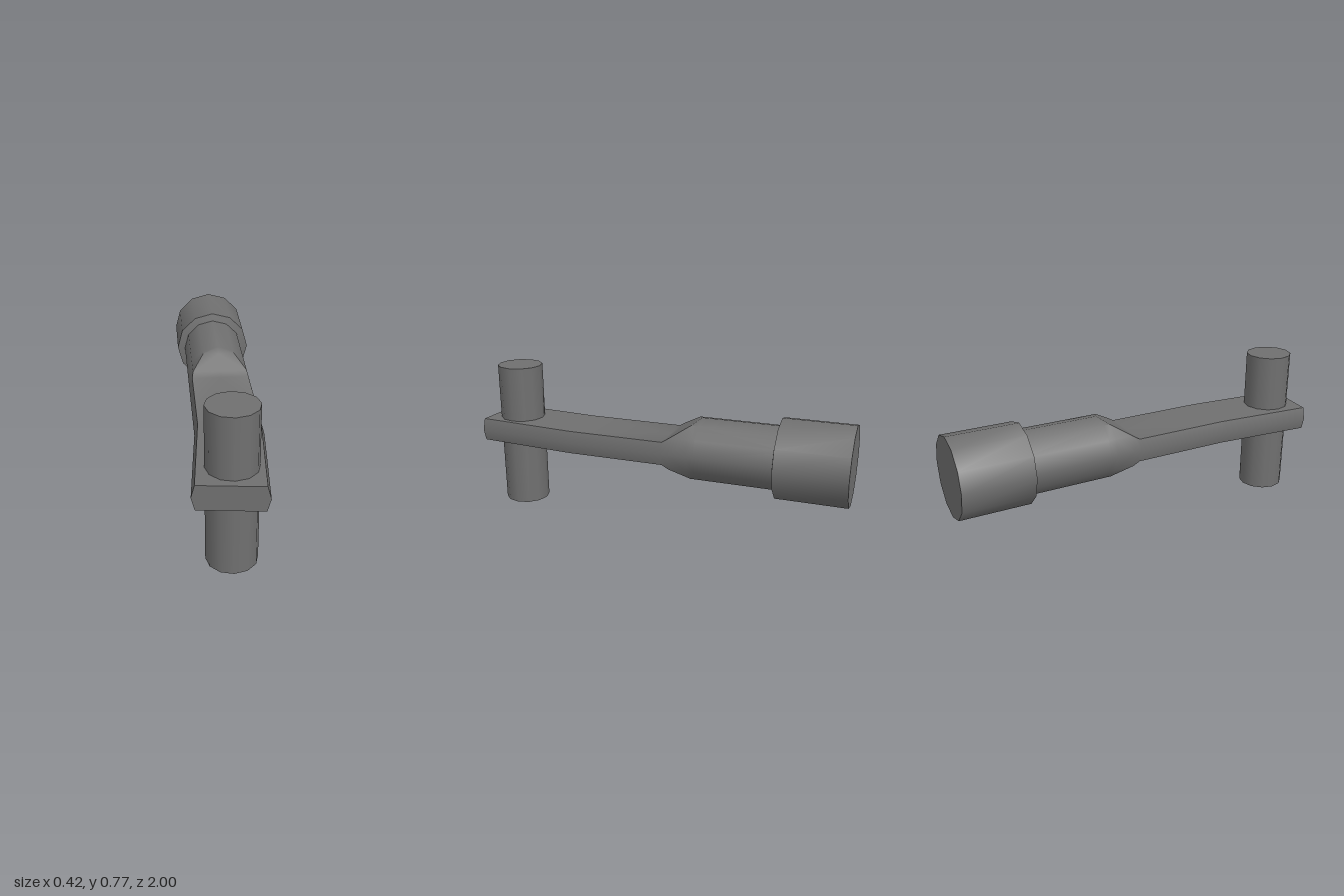
import * as THREE from 'three';
import { toCreasedNormals } from 'three/addons/utils/BufferGeometryUtils.js';

const SIDES = 12, CREASE = 0.65, AXIS_Y = 0.42;
const R = 0.166, FLAT = 0.061;

// Twelve-sided outline whose top and bottom are cut off at height +-h.
function outline(h) {
  const corner = (k) => [R * Math.cos(k * Math.PI / 6), R * Math.sin(k * Math.PI / 6)];
  const quarter = [0, 1, 2].map((k) => {
    if (corner(k)[1] <= h + 1e-6) return corner(k);
    let j = k;
    while (corner(j)[1] > h) j--;
    const [a, b] = [corner(j), corner(j + 1)];
    return [a[0] + (b[0] - a[0]) * (h - a[1]) / (b[1] - a[1]), h];
  });
  const half = [...quarter, [0, h], ...[2, 1].map((k) => [-quarter[k][0], quarter[k][1]])];
  return [...half, ...half.map(([x, y]) => [-x, -y])];
}

// Skin between consecutive sections, closed at the last one.
function loft(rings) {
  const pos = [];
  const tri = (a, b, c) => {
    const n = b.clone().sub(a).cross(c.clone().sub(a));
    if (n.length() > 1e-8) pos.push(...a, ...b, ...c);
  };
  for (let s = 0; s < rings.length - 1; s++) {
    for (let i = 0; i < SIDES; i++) {
      const j = (i + 1) % SIDES;
      const a = rings[s][i], b = rings[s][j], c = rings[s + 1][i], d = rings[s + 1][j];
      if (i % 2 === 0) { tri(a, b, c); tri(b, d, c); }
      else { tri(a, b, d); tri(a, d, c); }
    }
  }
  const end = rings[rings.length - 1];
  for (let i = 1; i < SIDES - 1; i++) tri(end[0], end[i], end[i + 1]);
  const geo = new THREE.BufferGeometry();
  geo.setAttribute('position', new THREE.Float32BufferAttribute(pos, 3));
  return toCreasedNormals(geo, CREASE);
}

export function createModel() {
  const group = new THREE.Group();
  const material = new THREE.MeshStandardMaterial({ color: 0x707070 });
  const add = (name, geo, x, y, z) => {
    const mesh = new THREE.Mesh(geo, material);
    mesh.name = name;
    mesh.position.set(x, y, z);
    group.add(mesh);
  };

  // Arm: round shaft, sloped cut to a flat bar, then a bend to one side.
  // Each section: cut height, z, sideways shift, turn
  const slopeZ = (h) => -0.23 + 0.17 * (R - h) / (R - FLAT);
  const sections = [
    [R, -0.7, 0, 0],
    ...[R, R * Math.sin(Math.PI / 3), R / 2, FLAT].map((h) => [h, slopeZ(h), 0, 0]),
    [FLAT, 0.45, 0, 0.04],
    [FLAT, 0.981, -0.043, 0.113],
  ];
  const rings = sections.map(([h, z, shift, turn]) => outline(h).map(([x, y]) =>
    new THREE.Vector3(shift + x * Math.cos(turn), y, z + x * Math.sin(turn))));
  add('arm', loft(rings), 0, AXIS_Y, 0);

  // Thick collar on the back end, its front face slightly conical
  const profile = [[0.16, 0.629], [0.208, 0.638], [0.208, 1], [0, 1]]
    .map(([r, y]) => new THREE.Vector2(r, y));
  const collar = new THREE.LatheGeometry(profile, SIDES);
  collar.rotateX(-Math.PI / 2);
  add('collar', toCreasedNormals(collar, CREASE), 0, AXIS_Y, 0);

  // Upright pin through the front end
  add('pin', new THREE.CylinderGeometry(0.12, 0.12, 0.775, SIDES), -0.023, 0.3875, 0.827);

  return group;
}
